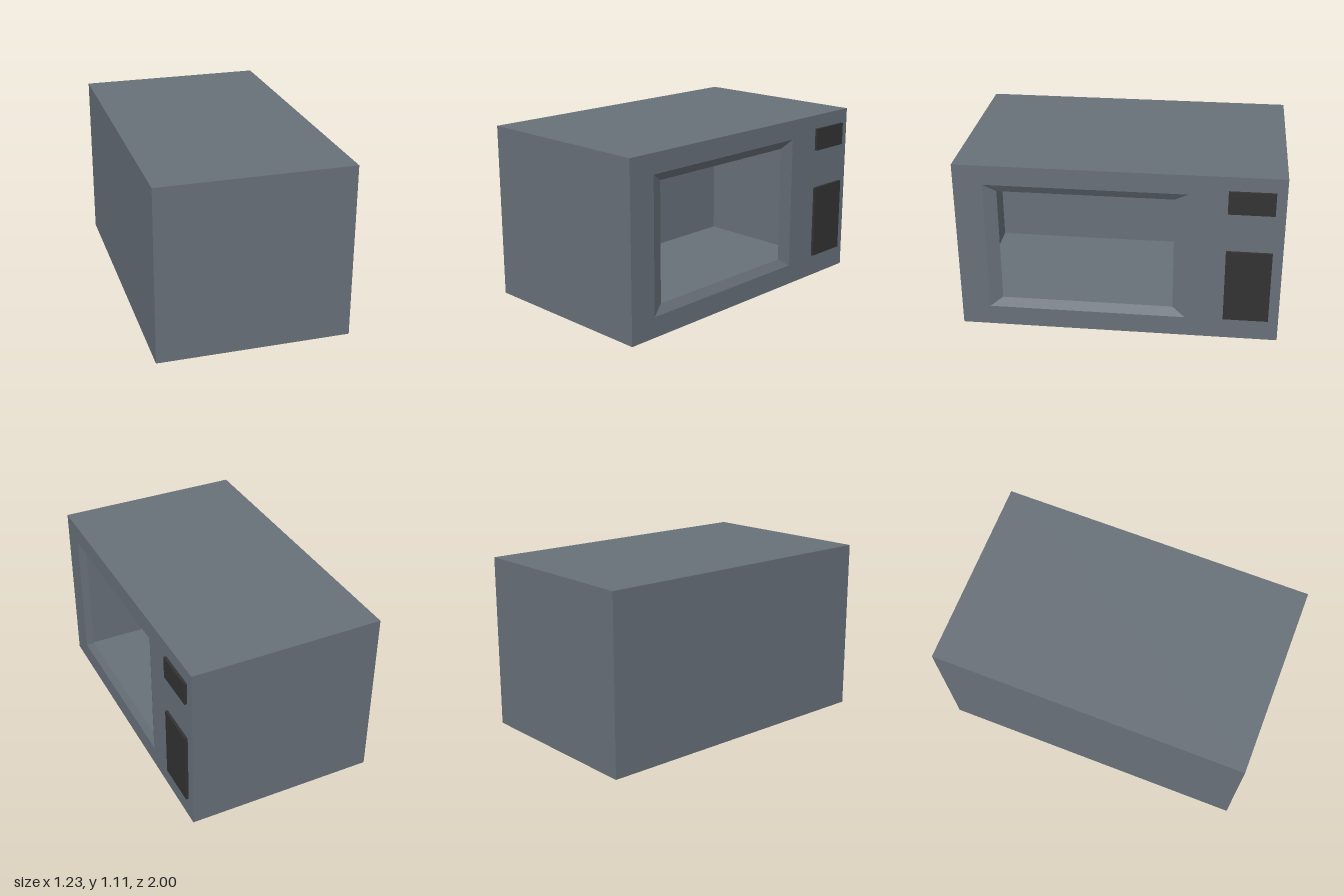
import * as THREE from 'three';

export function createModel() {
  const group = new THREE.Group();
  const casingMat = new THREE.MeshStandardMaterial({ color: 0x687079, side: THREE.DoubleSide });
  casingMat.name = 'slate grey';
  const panelMat = new THREE.MeshStandardMaterial({ color: 0x333333 });
  panelMat.name = 'charcoal';

  const add = (name, geometry, material) => {
    const mesh = new THREE.Mesh(geometry, material);
    mesh.name = name;
    group.add(mesh);
    return mesh;
  };

  const back = -0.615, face = 0.598, height = 1.11, rimDepth = 0.03;

  // Corners of a rectangle on the door side as [-z, y], counter-clockwise
  const rect = (u0, u1, y0, y1) => [[u0, y0], [u1, y0], [u1, y1], [u0, y1]];
  const outer = rect(-0.82, 0.42, 0.13, 0.985);
  const inner = rect(-0.74, 0.34, 0.185, 0.933);

  // Hollow casing: a thin box left open on its door side (+x)
  const box = new THREE.BoxGeometry(face - back, height, 2);
  box.setIndex(Array.from(box.index.array).slice(6));
  box.clearGroups();
  box.translate((face + back) / 2, height / 2, 0);
  add('casing', box, casingMat);

  // Door side with the window opening
  const toPoints = (corners) => corners.map(([u, y]) => new THREE.Vector2(u, y));
  const shape = new THREE.Shape(toPoints(rect(-1, 1, 0, height)));
  shape.holes.push(new THREE.Path(toPoints(outer)));
  const side = new THREE.ShapeGeometry(shape);
  side.rotateY(Math.PI / 2);
  side.translate(face, 0, 0);
  add('doorSide', side, casingMat);

  // Sloping rim leading into the opening
  const positions = [];
  for (let i = 0; i < 4; i++) {
    const j = (i + 1) % 4;
    const a = [face, outer[i][1], -outer[i][0]];
    const b = [face, outer[j][1], -outer[j][0]];
    const c = [face - rimDepth, inner[j][1], -inner[j][0]];
    const d = [face - rimDepth, inner[i][1], -inner[i][0]];
    positions.push(...a, ...b, ...c, ...a, ...c, ...d);
  }
  const rim = new THREE.BufferGeometry();
  rim.setAttribute('position', new THREE.Float32BufferAttribute(positions, 3));
  rim.computeVertexNormals();
  add('windowRim', rim, casingMat);

  // Raised display and keypad
  for (const [name, y0, y1] of [['display', 0.875, 1.02], ['keypad', 0.143, 0.62]]) {
    const panel = add(name, new THREE.BoxGeometry(0.017, y1 - y0, 0.28), panelMat);
    panel.position.set(face + 0.0085, (y0 + y1) / 2, -0.797);
  }

  return group;
}
